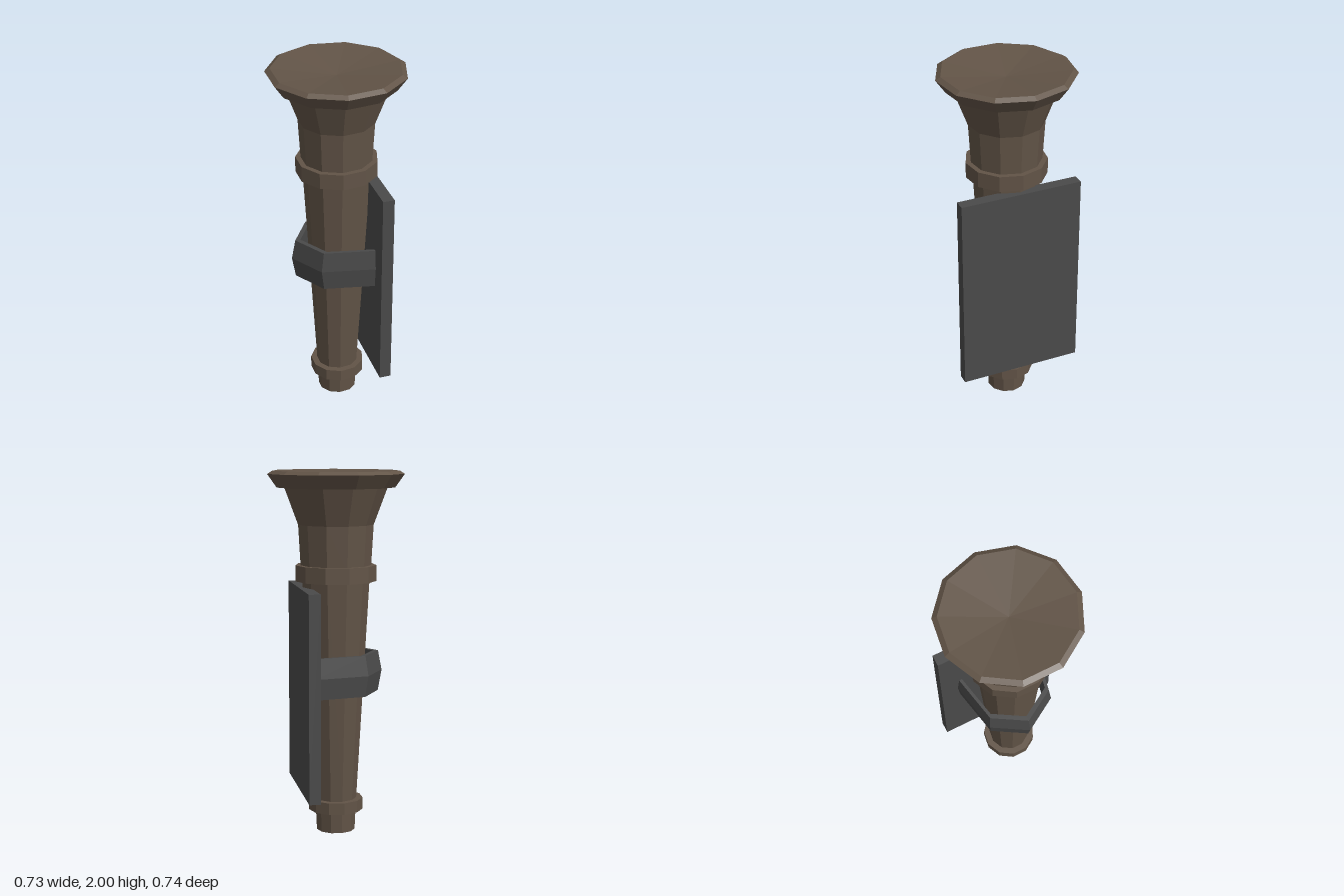
import * as THREE from 'three';

const wood = new THREE.MeshStandardMaterial({ color: 0x625447, flatShading: true });
const iron = new THREE.MeshStandardMaterial({ color: 0x4a4a4a, flatShading: true });
const SIDES = 11;

// Faceted turned part with a corner pointing along +x; profile is [radius, y] from bottom to top
function turned(name, profile) {
  const points = profile.map(([r, y]) => new THREE.Vector2(r, y));
  const mesh = new THREE.Mesh(new THREE.LatheGeometry(points, SIDES, Math.PI / 2), wood);
  mesh.name = name;
  return mesh;
}

const collar = (name, r, y0, y1) => turned(name, [[0, y0], [r, y0], [r, y1], [0, y1]]);

// Angular strap bent around the shaft, both ends set into the wall plate
function strapGeometry() {
  const endX = 0.16;
  const path = [[endX, 0.25], [-0.145, 0.19], [-0.26, 0], [-0.145, -0.19], [endX, -0.25]];
  // cross-section as [scale of the path, y], with a ridge along the outside
  const section = [[1, 0.9], [0.95, 1.01], [0.88, 1.01], [0.88, 0.785], [0.95, 0.785]];
  const n = section.length;
  const positions = [], index = [];
  for (const [x, z] of path) {
    for (const [k, y] of section) positions.push(endX + (x - endX) * k, y, z * k);
  }
  for (let i = 0; i < path.length - 1; i++) {
    for (let j = 0; j < n; j++) {
      const a = i * n + j, b = i * n + (j + 1) % n;
      index.push(a, b, a + n, b, b + n, a + n);
    }
  }
  const geometry = new THREE.BufferGeometry();
  geometry.setAttribute('position', new THREE.Float32BufferAttribute(positions, 3));
  geometry.setIndex(index);
  geometry.computeVertexNormals();
  return geometry;
}

export function createModel() {
  const model = new THREE.Group();
  model.name = 'wallTorch';

  // Wooden torch: foot, tapering shaft, flared head and shallow dished rim
  model.add(
    turned('foot', [[0, 0], [0.107, 0], [0.113, 0.13]]),
    collar('lowerCollar', 0.151, 0.117, 0.183),
    turned('shaft', [[0.115, 0.17], [0.186, 1.42]]),
    collar('upperCollar', 0.223, 1.403, 1.49),
    turned('flaredHead', [[0.193, 1.47], [0.207, 1.71], [0.285, 1.92]]),
    turned('rim', [[0, 1.91], [0.322, 1.91], [0.374, 1.983], [0.347, 2], [0, 1.96]]),
  );

  // Iron wall bracket
  const plate = new THREE.Mesh(new THREE.BoxGeometry(0.064, 1.13, 0.69), iron);
  plate.name = 'wallPlate';
  plate.position.set(0.176, 0.805, 0);
  const strap = new THREE.Mesh(strapGeometry(), iron);
  strap.name = 'strap';
  model.add(plate, strap);

  return model;
}
